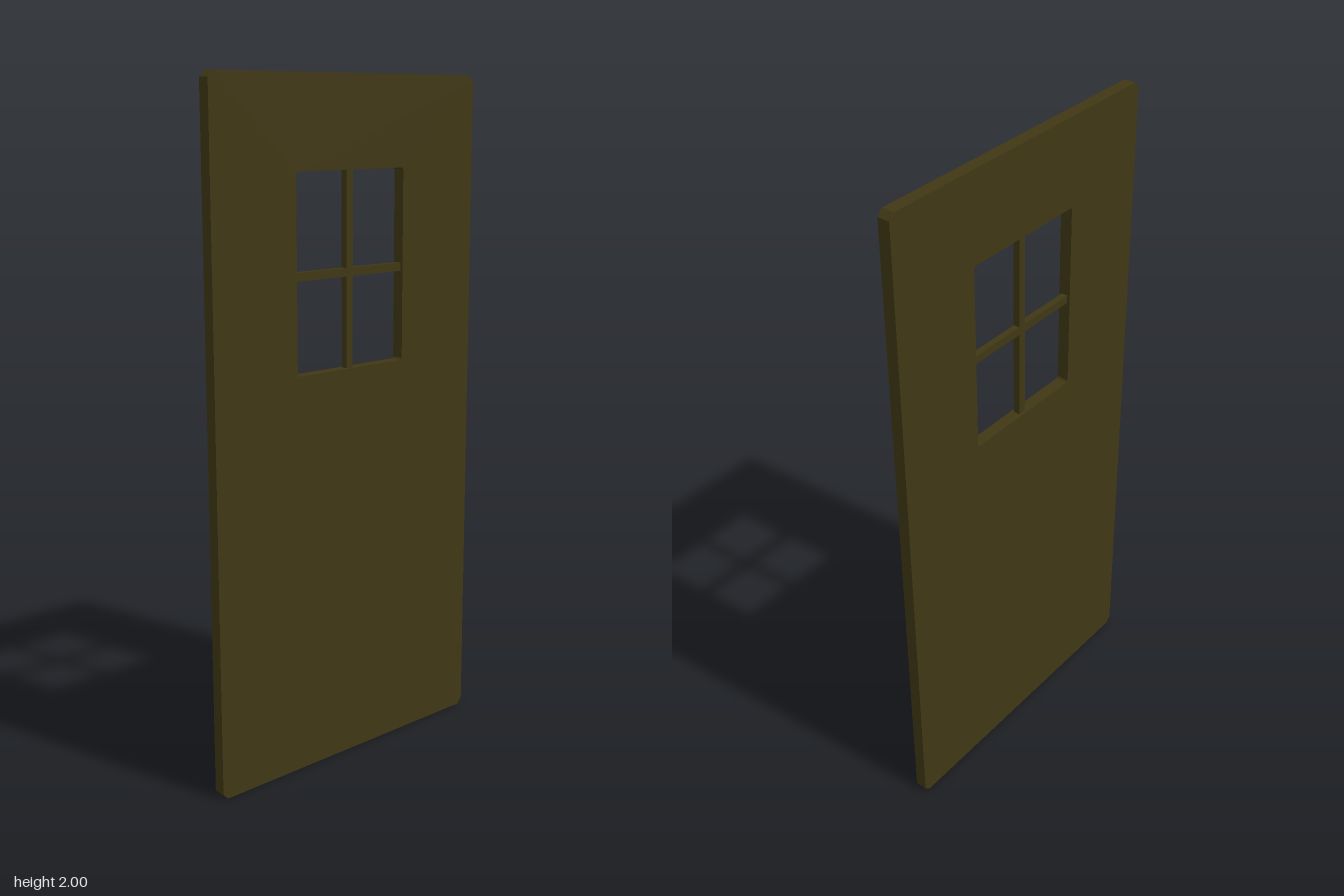
import * as THREE from 'three';

// Traces a rectangle with cut corners on a Shape or Path
function cutRect(path, x0, y0, x1, y1, c) {
  path.moveTo(x0 + c, y0);
  path.lineTo(x1 - c, y0);
  path.lineTo(x1, y0 + c);
  path.lineTo(x1, y1 - c);
  path.lineTo(x1 - c, y1);
  path.lineTo(x0 + c, y1);
  path.lineTo(x0, y1 - c);
  path.lineTo(x0, y0 + c);
  path.closePath();
  return path;
}

export function createModel() {
  const group = new THREE.Group();
  group.name = 'door';
  const wood = new THREE.MeshStandardMaterial({ color: 0x403714, flatShading: true });

  const depth = 0.036;
  const win = { x: 0.202, bottom: 1.18, top: 1.74 };
  const midY = (win.bottom + win.top) / 2 - 0.005;

  // Door panel with cut corners and a window opening
  const outline = cutRect(new THREE.Shape(), -0.49, 0, 0.49, 2, 0.017);
  outline.holes.push(cutRect(new THREE.Path(), -win.x, win.bottom, win.x, win.top, 0.005));
  const panelGeometry = new THREE.ExtrudeGeometry(outline, { depth, bevelEnabled: false });
  panelGeometry.translate(0, 0, -depth / 2);
  const panel = new THREE.Mesh(panelGeometry, wood);
  panel.name = 'doorPanel';
  group.add(panel);

  // Window bars crossing the opening, set in from both faces
  const addBar = (name, w, h, d, y) => {
    const bar = new THREE.Mesh(new THREE.BoxGeometry(w, h, d), wood);
    bar.name = name;
    bar.position.y = y;
    group.add(bar);
  };
  addBar('verticalWindowBar', 0.024, win.top - win.bottom + 0.01, 0.02, (win.top + win.bottom) / 2);
  addBar('horizontalWindowBar', win.x * 2 + 0.01, 0.024, 0.019, midY);

  return group;
}
